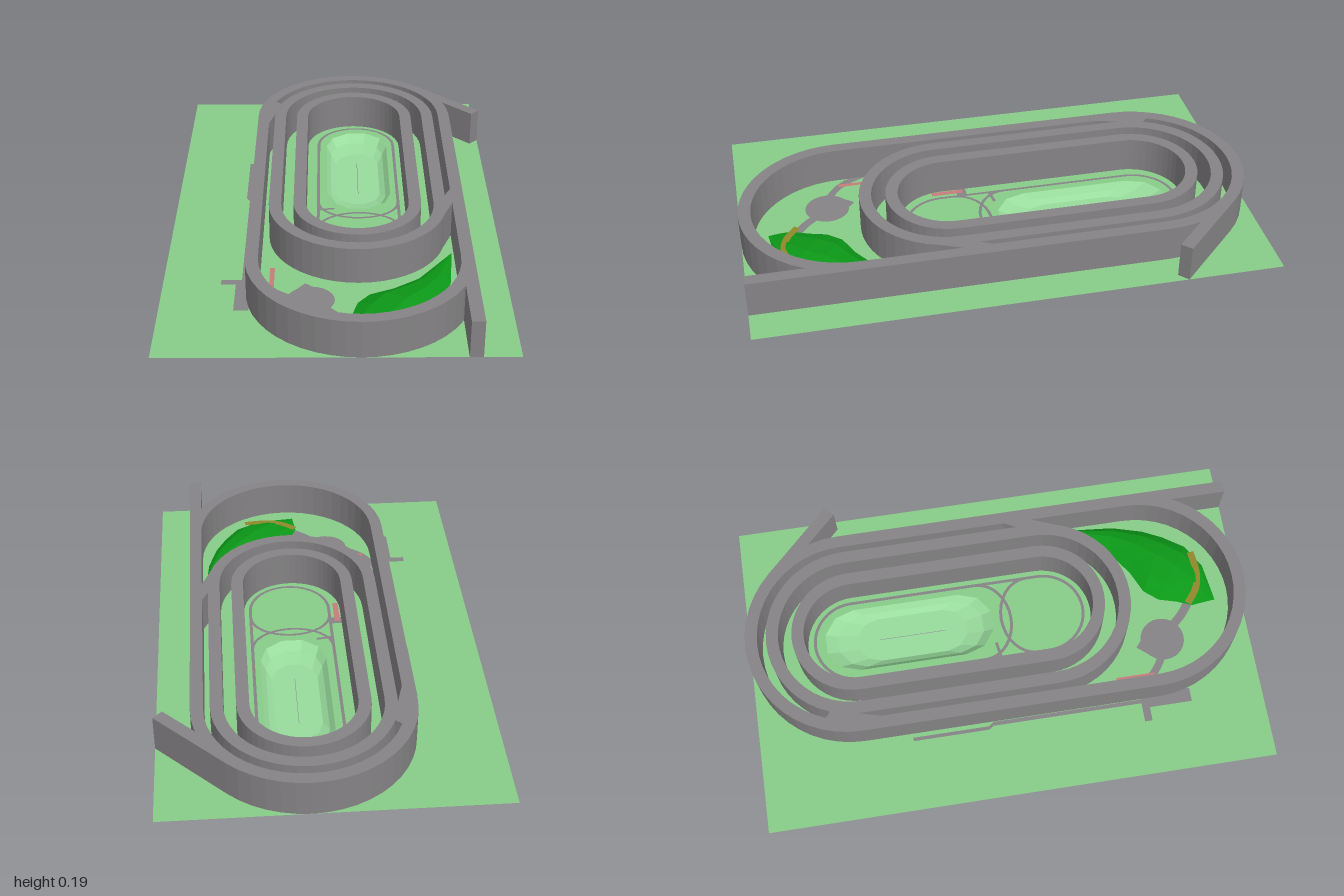
import * as THREE from 'three';

const GROUND = 0.04, TOP = 0.185, W = 0.048;
const V = (x, z) => new THREE.Vector2(x, -z);
const mat = (color, flatShading = false) =>
  new THREE.MeshStandardMaterial({ color, flatShading, side: THREE.DoubleSide });
const GREY = mat(0x858385), GRASS = mat(0x88cc88), BASIN = mat(0x98dc9c, true);
const HILL = mat(0x0c9a18, true), PINK = mat(0xc87c7c), BROWN = mat(0x8f8a2c);

// Closed stadium outline: z0 and z1 are its extreme ends
function stadium(cx, r, z0, z1, n = 24) {
  const pts = [];
  for (let i = 0; i <= n; i++) {
    const a = Math.PI * i / n;
    pts.push(V(cx + r * Math.cos(a), z0 + r - r * Math.sin(a)));
  }
  for (let i = 0; i <= n; i++) {
    const a = Math.PI * i / n;
    pts.push(V(cx - r * Math.cos(a), z1 - r + r * Math.sin(a)));
  }
  return pts;
}

function ring(cx, r, z0, z1, w) {
  const s = new THREE.Shape(stadium(cx, r, z0, z1));
  s.holes.push(new THREE.Path(stadium(cx, r - w, z0 + w, z1 - w)));
  return s;
}

const poly = pts => new THREE.Shape(pts.map(p => V(p[0], p[1])));
const rect = (x0, x1, z0, z1) => poly([[x0, z0], [x0, z1], [x1, z1], [x1, z0]]);

// Band of constant width along a centre line, smoothed when curved
function band(points, w, curved = true) {
  let c = points.map(p => V(p[0], p[1]));
  if (curved) c = new THREE.SplineCurve(c).getPoints(16);
  const left = [], right = [];
  c.forEach((p, i) => {
    const d = c[Math.min(i + 1, c.length - 1)].clone().sub(c[Math.max(i - 1, 0)]).normalize();
    const n = new THREE.Vector2(-d.y, d.x).multiplyScalar(w / 2);
    left.push(p.clone().add(n));
    right.unshift(p.clone().sub(n));
  });
  return new THREE.Shape([...left, ...right]);
}

// Join cross-sections (arrays of Vector3) into a faceted surface
function loft(rows, closed) {
  const pos = [];
  for (let i = 0; i < rows.length - 1; i++) {
    const a = rows[i], b = rows[i + 1], n = a.length;
    for (let j = 0; j < (closed ? n : n - 1); j++) {
      const k = (j + 1) % n;
      for (const p of [a[j], a[k], b[j], a[k], b[k], b[j]]) pos.push(p.x, p.y, p.z);
    }
  }
  const g = new THREE.BufferGeometry();
  g.setAttribute('position', new THREE.Float32BufferAttribute(pos, 3));
  g.computeVertexNormals();
  return g;
}

export function createModel() {
  const model = new THREE.Group();
  const add = (name, geo, material) => {
    const m = new THREE.Mesh(geo, material);
    m.name = name;
    model.add(m);
    return m;
  };
  const solid = (name, shape, y0, y1, material) => {
    const g = new THREE.ExtrudeGeometry(shape, { depth: y1 - y0, bevelEnabled: false });
    add(name, g.rotateX(-Math.PI / 2).translate(0, y0, 0), material);
  };
  const flat = (name, shape, material, y = GROUND + 0.001) =>
    add(name, new THREE.ShapeGeometry(shape).rotateX(-Math.PI / 2).translate(0, y, 0), material);
  const wall = (name, shape) => solid(name, shape, GROUND, TOP, GREY);

  // Lawn with an opening for the basin
  const lawn = rect(-0.633, 0.633, -1, 1);
  lawn.holes.push(new THREE.Path(stadium(0.1, 0.13, -0.7, -0.01, 5)));
  flat('lawn', lawn, GRASS, GROUND);

  // Sunken basin
  const levels = [[0.13, -0.7, -0.01, GROUND], [0.112, -0.65, -0.05, 0.015],
    [0.09, -0.57, -0.12, 0], [0.001, -0.48, -0.21, 0]];
  add('basin', loft(levels.map(([r, z0, z1, y]) =>
    stadium(0.1, r, z0, z1, 5).map(p => new THREE.Vector3(p.x, y, -p.y))).reverse(), true), BASIN);

  // Three nested walls
  wall('outerWall', ring(0.087, 0.413, -1, 1, W));
  wall('middleWall', ring(0.087, 0.341, -0.917, 0.536, W));
  wall('innerWall', ring(0.087, 0.246, -0.816, 0.433, W));

  // Straight run-outs and links between walls
  wall('frontRunout', rect(0.452, 0.5, 0.55, 1));
  wall('backRunout', poly([[0.379, -0.879], [0.633, -0.625], [0.599, -0.591], [0.345, -0.845]]));
  wall('leftLink', poly([[0.378, 0.26], [0.41, 0.3], [0.455, 0.19], [0.455, 0.08], [0.425, 0.14]]));
  wall('rightLink', poly([[-0.3, -0.68], [-0.28, -0.5], [-0.255, -0.59], [-0.23, -0.7], [-0.255, -0.72]]));

  // Thin footpaths inside the inner wall
  flat('loopPath', ring(0.097, 0.168, -0.745, 0.362, 0.012), GREY);
  const arc = dir => Array.from({ length: 13 }, (_, i) => {
    const a = Math.PI * i / 12;
    return [0.097 + 0.162 * Math.cos(a), 0.04 + dir * (0.105 - 0.125 * Math.sin(a))];
  });
  flat('upperCrossPath', band(arc(-1), 0.012), GREY);
  flat('lowerCrossPath', band(arc(1), 0.012), GREY);
  flat('shortPath', band([[-0.065, -0.005], [0, -0.015]], 0.012, false), GREY);

  // Round plaza, its square and the paths to it
  const plaza = new THREE.Shape();
  plaza.absarc(-0.09, -0.65, 0.088, 0, Math.PI * 2);
  flat('plaza', plaza, GREY);
  flat('plazaCorner', poly([[-0.11, 0.54], [-0.16, 0.6], [-0.09, 0.66], [-0.04, 0.6]]), GREY);
  flat('plazaPath', band([[-0.29, 0.48], [-0.25, 0.56], [-0.2, 0.61], [-0.13, 0.65]], 0.03), GREY);
  flat('hillApproach', band([[-0.04, 0.7], [0.0, 0.745], [0.05, 0.785]], 0.035), GREY);

  // Paths outside the walls
  flat('sidePathBack', rect(-0.357, -0.343, -0.4, -0.1), GREY);
  flat('sidePathBend', poly([[-0.357, -0.1], [-0.343, -0.1], [-0.33, -0.08], [-0.344, -0.08]]), GREY);
  flat('sidePathFront', rect(-0.344, -0.328, -0.08, 0.52), GREY);
  flat('sideSpur', rect(-0.42, -0.32, 0.515, 0.545), GREY);
  flat('sideBay', rect(-0.365, -0.31, 0.545, 0.715), GREY);

  // Shallow tunnel below the lawn, open at both ends
  solid('tunnel', band([[-0.092, 0.12], [-0.094, 0.23], [-0.16, 0.34], [-0.234, 0.43], [-0.234, 0.5]], 0.022),
    0.029, GROUND - 0.001, PINK);
  flat('tunnelRampBack', rect(-0.105, -0.083, 0.1, 0.225), PINK, GROUND + 0.002);
  flat('tunnelRampFront', rect(-0.243, -0.225, 0.435, 0.59), PINK, GROUND + 0.002);
  flat('tunnelLanding', rect(-0.11, -0.065, 0.085, 0.125), GREY);

  // Faceted hill: left and right edges of each section, with ridge height
  const sections = [
    [0.445, 0.33, 0.445, 0.33, 0], [0.31, 0.51, 0.425, 0.54, 0.022], [0.215, 0.575, 0.39, 0.66, 0.034],
    [0.125, 0.615, 0.35, 0.74, 0.04], [0.08, 0.67, 0.295, 0.82, 0.036], [0.06, 0.74, 0.2, 0.875, 0.025],
    [0.035, 0.8, 0.045, 0.895, 0.003]];
  const hillRows = sections.map(([x0, z0, x1, z1, h]) =>
    [[0, 0], [0.25, 0.7], [0.6, 1], [0.85, 0.65], [1, 0]].map(([t, k]) =>
      new THREE.Vector3(x0 + (x1 - x0) * t, GROUND + 0.001 + h * k, z0 + (z1 - z0) * t)));
  add('hill', loft(hillRows.map(r => r.reverse()), false), HILL);

  // Brown path crossing the foot of the hill
  flat('hillPath', band([[0.04, 0.78], [0.1, 0.825], [0.17, 0.842], [0.26, 0.835]], 0.028), BROWN, GROUND + 0.022);

  return model;
}
